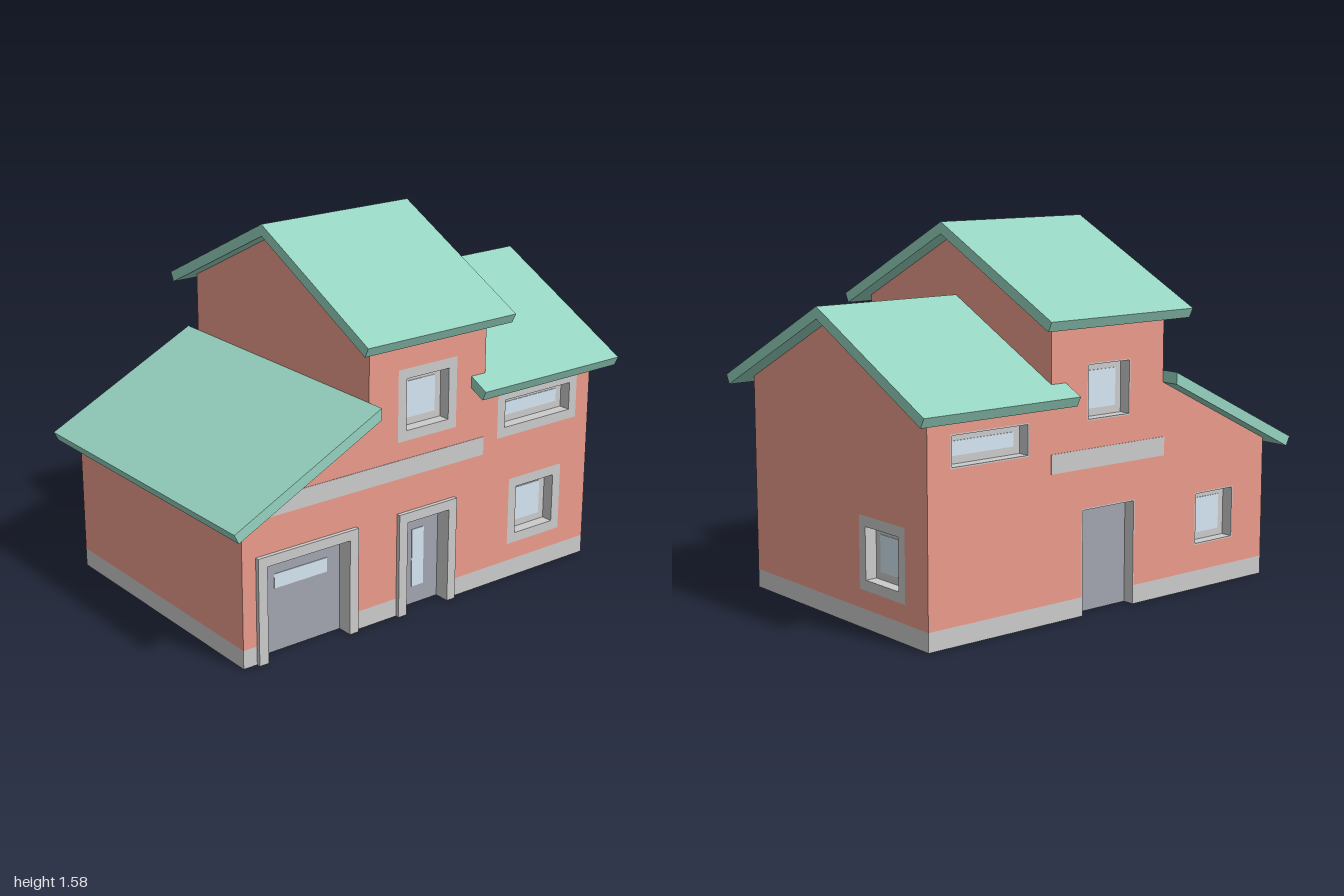
import * as THREE from 'three';

const paint = (color) => new THREE.MeshStandardMaterial({ color, flatShading: true });
const WALL = paint(0xeb9c8b), ROOF = paint(0x96d3c0), TRIM = paint(0xbcbec0);
const DOOR = paint(0xa3a5b0), GLASS = paint(0xd4e6f2);
const PLINTH = 0.08, HALF = 0.61, CORE = 0.55, FRONT = 0.915, BACK = -0.92;

const toPoints = (list) => list.map(([x, y]) => new THREE.Vector2(x, y));
const rect = (u0, u1, v0, v1) => [[u0, v0], [u1, v0], [u1, v1], [u0, v1]];

// Straight slab of an outline between two depths, with optional holes
function slab(name, outline, d0, d1, material, holes = []) {
  const shape = new THREE.Shape(toPoints(outline));
  holes.forEach((h) => shape.holes.push(new THREE.Path(toPoints(h))));
  const geo = new THREE.ExtrudeGeometry(shape, { depth: d1 - d0, bevelEnabled: false });
  geo.translate(0, 0, d0);
  const mesh = new THREE.Mesh(geo, material);
  mesh.name = name;
  return mesh;
}

// Frame, recessed panel and glass; a door's frame is open at the ground
function opening(o, inner, outer) {
  const g = new THREE.Group();
  g.name = o.name;
  const { u0, u1, v0, v1, b } = o;
  const front = outer + (o.proud || 0);
  if (o.door) {
    const arch = [[u0 - b, 0], [u0, 0], [u0, v1], [u1, v1], [u1, 0], [u1 + b, 0], [u1 + b, v1 + b], [u0 - b, v1 + b]];
    g.add(slab('doorFrame', arch, inner, front, TRIM));
  } else {
    const ring = rect(u0 - b, u1 + b, v0 - b, v1 + b);
    g.add(slab('windowSurround', ring, inner, front, TRIM, [rect(u0, u1, v0, v1)]));
  }
  g.add(slab(o.door ? 'doorPanel' : 'windowFrame', rect(u0, u1, v0, v1), inner, inner + 0.008, o.door ? DOOR : TRIM));
  if (o.glass) g.add(slab('glass', rect(...o.glass), inner + 0.008, inner + 0.011, GLASS));
  return g;
}

// One wall facing +z locally: notched for doors, pierced for windows, on a plinth
function facade(name, turn, uMin, uMax, top, inner, outer, openings) {
  const g = new THREE.Group();
  g.name = name;
  const doors = openings.filter((o) => o.door).sort((a, b) => a.u0 - b.u0);
  const outline = [[uMin, PLINTH]];
  let start = uMin;
  const plinth = (a, b) => g.add(slab('plinth', rect(a, b, 0, PLINTH), inner, outer, TRIM));
  doors.forEach(({ u0, u1, v1, b }) => {
    outline.push([u0 - b, PLINTH], [u0 - b, v1 + b], [u1 + b, v1 + b], [u1 + b, PLINTH]);
    plinth(start, u0 - b);
    start = u1 + b;
  });
  plinth(start, uMax);
  outline.push([uMax, PLINTH], ...top);
  const holes = openings.filter((o) => !o.door)
    .map(({ u0, u1, v0, v1, b }) => rect(u0 - b, u1 + b, v0 - b, v1 + b));
  g.add(slab('wall', outline, inner, outer, WALL, holes));
  openings.forEach((o) => g.add(opening(o, inner, outer)));
  g.rotation.y = turn;
  return g;
}

// Gable outline that rests on top of the side walls
const gable = (apex) => {
  const eave = apex - HALF / 2;
  return [[CORE, eave], [HALF, eave], [0, apex], [-HALF, eave], [-CORE, eave]];
};
const fullGable = (apex) => [[-CORE, PLINTH], [CORE, PLINTH], ...gable(apex)];

// Two-sided roof of constant thickness with square-cut eaves
function gableRoof(name, ridge, z0, z1) {
  const half = [[0.7, ridge - 0.35], [0.68, ridge - 0.39]];
  const outline = [[0, ridge], ...half, [0, ridge - 0.05],
    ...half.slice().reverse().map(([x, y]) => [-x, y])];
  return slab(name, outline, z0, z1, ROOF);
}

// Window or door description
const win = (name, u0, u1, v0, v1, b) => {
  const m = 0.032;
  return { name, u0, u1, v0, v1, b, glass: [u0 + m, u1 - m, v0 + m, v1 - m] };
};

export function createModel() {
  const house = new THREE.Group();
  house.name = 'house';

  // Solid core: plinth, front wing, tall middle, back wing
  house.add(slab('basePlinth', rect(-CORE, CORE, 0, PLINTH), -0.86, FRONT, TRIM));
  const wing = slab('frontWing', [[-FRONT, PLINTH], [-0.3, PLINTH], [-0.3, 0.92], [-FRONT, 0.6125]], -CORE, CORE, WALL);
  wing.rotation.y = Math.PI / 2;
  house.add(wing);
  house.add(slab('middleGable', fullGable(1.53), -0.31, 0.3, WALL));
  house.add(slab('backWing', fullGable(1.225), -0.86, -0.31, WALL));

  // Stepped top of the side walls, running from the back to the front
  const top = [[-BACK, 0.92], [0.31, 0.92], [0.31, 1.225], [-0.3, 1.225], [-0.3, 0.92], [-FRONT, 0.6125]];

  // Side with the garage
  const garageSide = facade('garageSide', Math.PI / 2, -FRONT, -BACK, top, CORE, HALF, [
    { name: 'garageDoor', door: true, u0: -0.808, u1: -0.405, v0: 0, v1: 0.415, b: 0.043, proud: 0.018, glass: [-0.73, -0.47, 0.275, 0.337] },
    { name: 'sideDoor', door: true, u0: -0.108, u1: 0.113, v0: 0, v1: 0.415, b: 0.043, proud: 0.018, glass: [-0.028, 0.035, 0.08, 0.34] },
    win('lowerWindow', 0.508, 0.725, 0.2, 0.417, 0.043),
    win('upperWindow', -0.108, 0.113, 0.81, 1.03, 0.043),
    win('longWindow', 0.43, 0.803, 0.703, 0.825, 0.042),
  ]);
  garageSide.add(slab('wallBand', [[-0.915, 0.61], [0.31, 0.61], [0.31, 0.69], [-0.76, 0.69]], HALF, HALF + 0.002, TRIM));
  house.add(garageSide);

  // Opposite side, with plain openings
  const mirrored = top.map(([u, v]) => [-u, v]).reverse();
  const plainSide = facade('plainSide', -Math.PI / 2, BACK, FRONT, mirrored, CORE, HALF, [
    { name: 'sideDoor', door: true, u0: -0.14, u1: 0.14, v0: 0, v1: 0.44, b: 0.006 },
    win('lowerWindow', 0.505, 0.725, 0.2, 0.417, 0.006),
    win('upperWindow', -0.113, 0.108, 0.81, 1.03, 0.006),
    win('longWindow', -0.803, -0.43, 0.703, 0.825, 0.006),
  ]);
  plainSide.add(slab('wallBand', rect(-0.31, 0.31, 0.61, 0.69), HALF, HALF + 0.002, TRIM));
  house.add(plainSide);

  // Back wall with its single window
  house.add(facade('backWall', Math.PI, -CORE, CORE, gable(1.225), 0.86, -BACK,
    [win('backWindow', 0.2, 0.42, 0.2, 0.417, 0.043)]));

  // Roofs
  house.add(gableRoof('middleRoof', 1.58, -0.387, 0.377));
  house.add(gableRoof('backRoof', 1.275, -1, -0.235));
  const shed = slab('frontRoof', [[-0.3, 0.97], [-1, 0.62], [-0.98, 0.58], [-0.3, 0.92]], -0.69, 0.69, ROOF);
  shed.rotation.y = Math.PI / 2;
  house.add(shed);

  return house;
}
